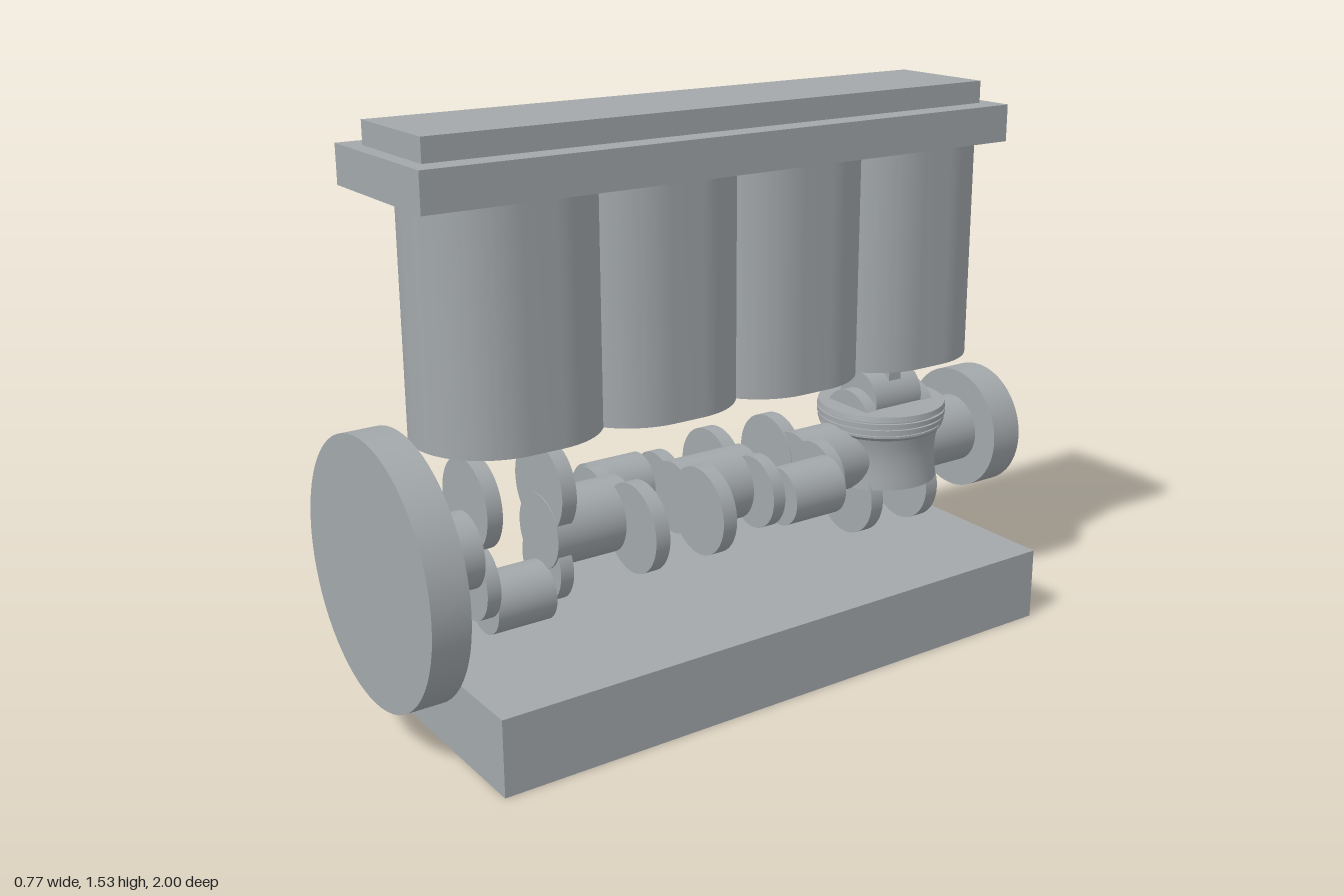
import * as THREE from 'three';
import { toCreasedNormals } from 'three/addons/utils/BufferGeometryUtils.js';

export function createModel() {
  const model = new THREE.Group();
  model.name = 'inlineEngine';
  const steel = new THREE.MeshStandardMaterial({ color: 0xa3a8ab });
  steel.name = 'steel grey';

  const AXIS_Y = 0.47;
  const BORES = [0.61, 0.203, -0.203, -0.61];

  function add(name, geometry, x, y, z, parent = model) {
    const mesh = new THREE.Mesh(geometry, steel);
    mesh.name = name;
    mesh.position.set(x, y, z);
    parent.add(mesh);
    return mesh;
  }

  // Box given by its extents; centred on x
  function slab(name, width, y0, y1, z0, z1) {
    add(name, new THREE.BoxGeometry(width, y1 - y0, z1 - z0), 0, (y0 + y1) / 2, (z0 + z1) / 2);
  }

  // Round disc lying along z
  function disc(name, r, z0, z1, parent, x = 0, y = 0) {
    const geo = new THREE.CylinderGeometry(r, r, z1 - z0, 64).rotateX(Math.PI / 2);
    add(name, geo, x, y, (z0 + z1) / 2, parent);
  }

  // Sump and cylinder head
  slab('oilPan', 0.77, 0, 0.205, -0.875, 0.855);
  slab('cylinderHead', 0.448, 1.37, 1.47, -0.837, 0.917);
  slab('valveCover', 0.312, 1.47, 1.53, -0.797, 0.877);

  // Hollow cylinders, slightly elongated along the engine
  function oval(path, r, half) {
    path.absarc(0, half, r, 0, Math.PI, false);
    path.absarc(0, -half, r, Math.PI, Math.PI * 2, false);
    path.closePath();
    return path;
  }
  const sleeveShape = oval(new THREE.Shape(), 0.203, 0.043);
  sleeveShape.holes.push(oval(new THREE.Path(), 0.188, 0.043));
  const sleeve = toCreasedNormals(
    new THREE.ExtrudeGeometry(sleeveShape, { depth: 0.61, bevelEnabled: false, curveSegments: 32 })
      .rotateX(-Math.PI / 2), 0.6);
  BORES.forEach((z) => add('cylinder', sleeve, 0, 0.76, z));

  // Crankshaft: main journals, flywheel and pulley
  const crank = new THREE.Group();
  crank.name = 'crankshaft';
  crank.position.y = AXIS_Y;
  model.add(crank);
  disc('flywheel', 0.345, 0.9, 1, crank);
  disc('collar', 0.12, 0.863, 0.9, crank);
  disc('pulley', 0.18, -1, -0.9, crank);
  const journals = [[0.735, 0.863], [0.29, 0.53], [-0.12, 0.12], [-0.53, -0.29], [-0.9, -0.695]];
  journals.forEach(([z0, z1]) => disc('mainJournal', 0.1, z0, z1, crank));

  // Throws: a pin between two webs, each with a counterweight
  const directions = [[0, -1], [-1, 0], [1, 0], [0, 1]];
  BORES.forEach((z, i) => {
    const [dx, dy] = directions[i];
    const throwGroup = new THREE.Group();
    throwGroup.name = 'crankThrow';
    throwGroup.position.z = z;
    crank.add(throwGroup);
    disc('crankPin', 0.08, -0.084, 0.084, throwGroup, dx * 0.16, dy * 0.16);
    for (const s of [-1, 1]) {
      const c = s * 0.104;
      disc('web', 0.1, c - 0.019, c + 0.019, throwGroup, dx * 0.09, dy * 0.09);
      disc('counterweight', 0.12, c - 0.021, c + 0.021, throwGroup, -dx * 0.12, -dy * 0.12);
    }
  });

  // Piston with a waisted skirt and ring grooves
  const profile = [
    [0, 0.39], [0.165, 0.39], [0.161, 0.43], [0.158, 0.47], [0.161, 0.51], [0.168, 0.54],
    [0.178, 0.55], [0.178, 0.556], [0.172, 0.556], [0.172, 0.562], [0.182, 0.562], [0.182, 0.575],
    [0.174, 0.575], [0.174, 0.581], [0.185, 0.581], [0.185, 0.594],
    [0.176, 0.594], [0.176, 0.6], [0.185, 0.6], [0.182, 0.615], [0, 0.615],
  ].map(([r, y]) => new THREE.Vector2(r, y));
  add('piston', toCreasedNormals(new THREE.LatheGeometry(profile, 64), 0.5), 0, 0, -0.612);

  // Tapered connecting rod
  const rodShape = new THREE.Shape();
  rodShape.moveTo(-0.065, 0.5);
  rodShape.lineTo(0.065, 0.5);
  rodShape.lineTo(0.045, 1.05);
  rodShape.lineTo(-0.045, 1.05);
  rodShape.closePath();
  add('connectingRod', new THREE.ExtrudeGeometry(rodShape, { depth: 0.042, bevelEnabled: false }), 0, 0, -0.632);

  return model;
}
